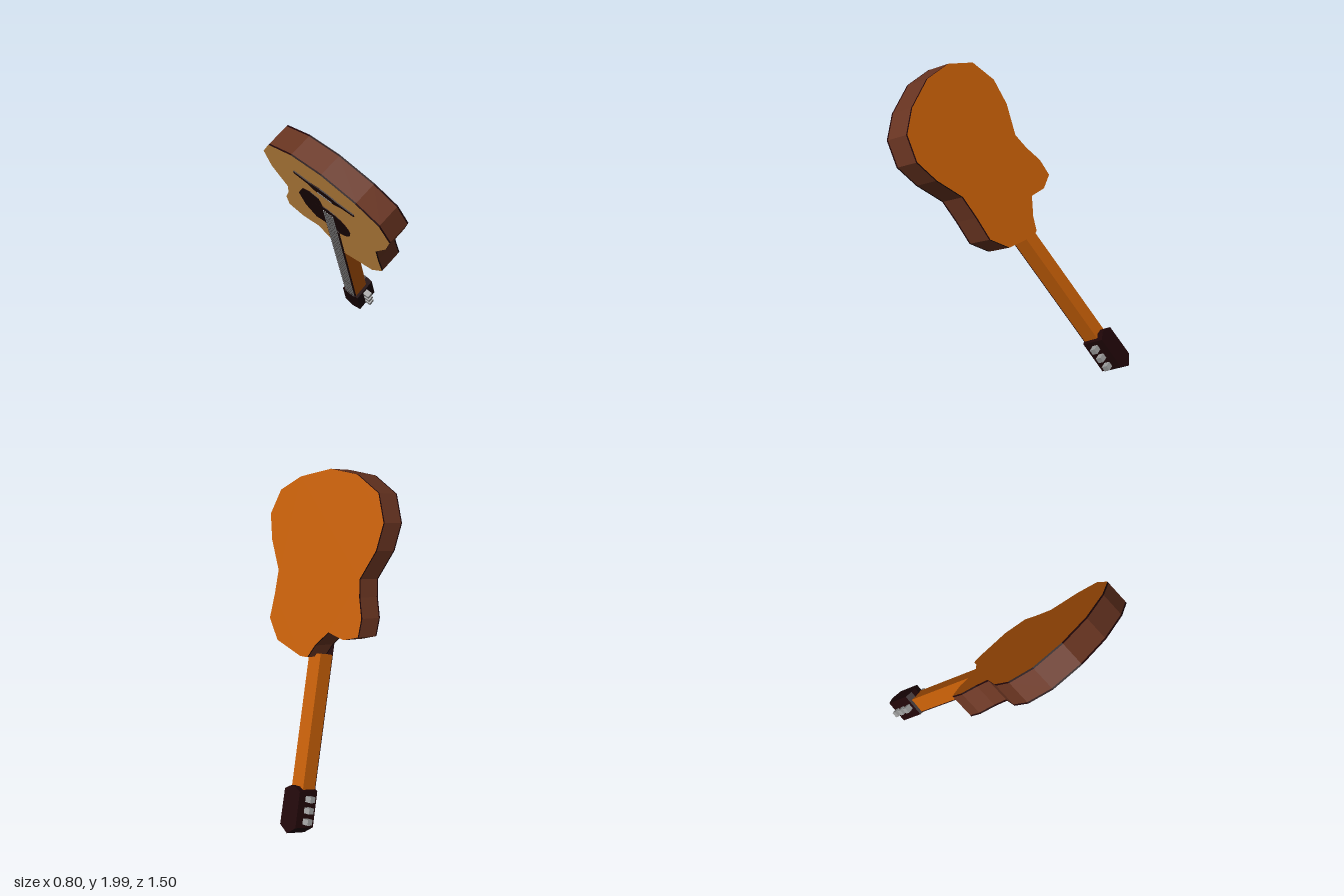
import * as THREE from 'three';

const mat = (name, color) => {
  const m = new THREE.MeshStandardMaterial({ color });
  m.name = name;
  return m;
};

export function createModel() {
  const spruce = mat('tan soundboard', 0xe6a04c);
  const orange = mat('orange wood', 0xbf5b06);
  const brown = mat('brown sides', 0x683421);
  const dark = mat('dark wood', 0x1f0507);
  const steel = mat('grey metal', 0x9a9a9a);

  // Guitar space: x across, y from head to tail, z out of the soundboard.
  const guitar = new THREE.Group();
  guitar.name = 'guitar';
  const FRONT = -0.528, BACK = -0.695;

  const toShape = (pts) => new THREE.Shape(pts.map(([x, y]) => new THREE.Vector2(x, y)));
  const add = (name, geometry, material) => {
    const m = new THREE.Mesh(geometry, material);
    m.name = name;
    guitar.add(m);
    return m;
  };
  // Flat slab between two depths, with separate face and edge materials
  const slab = (name, pts, z0, z1, face, edge = face, lean = 0) => {
    const g = new THREE.ExtrudeGeometry(Array.isArray(pts) ? toShape(pts) : pts,
      { depth: z1 - z0, bevelEnabled: false, curveSegments: 10 });
    g.translate(0, 0, z0);
    if (lean) {
      const p = g.attributes.position;
      for (let i = 0; i < p.count; i++) p.setY(i, p.getY(i) + lean * (p.getZ(i) - BACK));
      g.computeVertexNormals();
    }
    return add(name, g, [face, edge]);
  };
  const box = (name, x0, x1, y0, y1, z0, z1, material) => {
    const g = new THREE.BoxGeometry(x1 - x0, y1 - y0, z1 - z0);
    g.translate((x0 + x1) / 2, (y0 + y1) / 2, (z0 + z1) / 2);
    return add(name, g, material);
  };

  // Body with one cutaway horn
  const outline = [
    [0, 0.711], [0.06, 0.711], [0.272, 0.786], [0.362, 0.915], [0.346, 1.068], [0.34, 1.218],
    [0.432, 1.404], [0.473, 1.565], [0.409, 1.72], [0.25, 1.81], [0.008, 1.866], [-0.213, 1.84],
    [-0.398, 1.737], [-0.468, 1.565], [-0.438, 1.398], [-0.34, 1.221], [-0.356, 1.113],
    [-0.394, 0.99], [-0.386, 0.879], [-0.275, 0.849], [-0.146, 0.881], [-0.05, 0.789],
  ];
  const lean = 0.115, rim = 0.01;
  slab('backPlate', outline, BACK, BACK + rim, orange, dark, lean);
  slab('bodySides', outline, BACK + rim, FRONT - rim, brown, brown, lean);
  slab('soundboard', outline, FRONT - rim, FRONT, spruce, dark, lean);

  // Soundhole, pickguard and bridge
  const hole = new THREE.Shape();
  hole.absarc(0, 1.22, 0.145, 0, Math.PI * 2);
  slab('soundhole', hole, FRONT, FRONT + 0.004, dark);
  slab('pickguard', [[-0.05, 1.35], [-0.069, 1.451], [-0.13, 1.46], [-0.192, 1.428], [-0.243, 1.295],
    [-0.207, 1.16], [-0.135, 1.077], [-0.05, 1.1]], FRONT, FRONT + 0.003, dark);
  slab('bridge', [[-0.228, 1.608], [-0.13, 1.598], [-0.07, 1.566], [0.07, 1.566], [0.13, 1.598],
    [0.22, 1.608], [0.22, 1.632], [0.1, 1.632], [0.03, 1.647], [-0.03, 1.647], [-0.1, 1.632],
    [-0.228, 1.632]], FRONT, FRONT + 0.007, dark);
  box('saddle', -0.055, 0.055, 1.567, 1.579, FRONT, FRONT + 0.009, steel);

  // Neck, fretboard and strings
  box('neck', -0.048, 0.048, -0.12, 0.74, -0.63, -0.524, orange);
  box('fretboard', -0.048, 0.048, -0.1, 1.1, -0.524, -0.519, dark);
  for (let i = 0; i < 6; i++) {
    const x = -0.034 + i * 0.0136;
    box('string', x - 0.0033, x + 0.0033, -0.12, 1.34, -0.517, -0.513, steel);
  }

  // Headstock with three tuners on each side
  slab('headstock', [[-0.066, -0.335], [0, -0.38], [0.066, -0.335], [0.064, -0.11], [0.02, -0.085],
    [-0.02, -0.085], [-0.064, -0.11]], -0.672, -0.515, dark);
  for (const side of [-1, 1]) {
    for (let i = 0; i < 3; i++) {
      const y = -0.155 - i * 0.07, x = side * 0.085;
      box('tuner', x - 0.024, x + 0.024, y - 0.018, y + 0.018, -0.614, -0.574, steel);
    }
  }

  // Tilt: head down, tail up, soundboard turned to the front right
  const up = new THREE.Vector3(-0.178, 0.829, 0.53).normalize();
  const out = new THREE.Vector3(-0.718, -0.477, 0.509);
  out.addScaledVector(up, -out.dot(up)).normalize();
  const across = new THREE.Vector3().crossVectors(up, out);
  guitar.quaternion.setFromRotationMatrix(new THREE.Matrix4().makeBasis(across, up, out));
  guitar.position.copy(across).multiplyScalar(-0.272);

  const model = new THREE.Group();
  model.name = 'acousticGuitar';
  model.add(guitar);
  return model;
}
